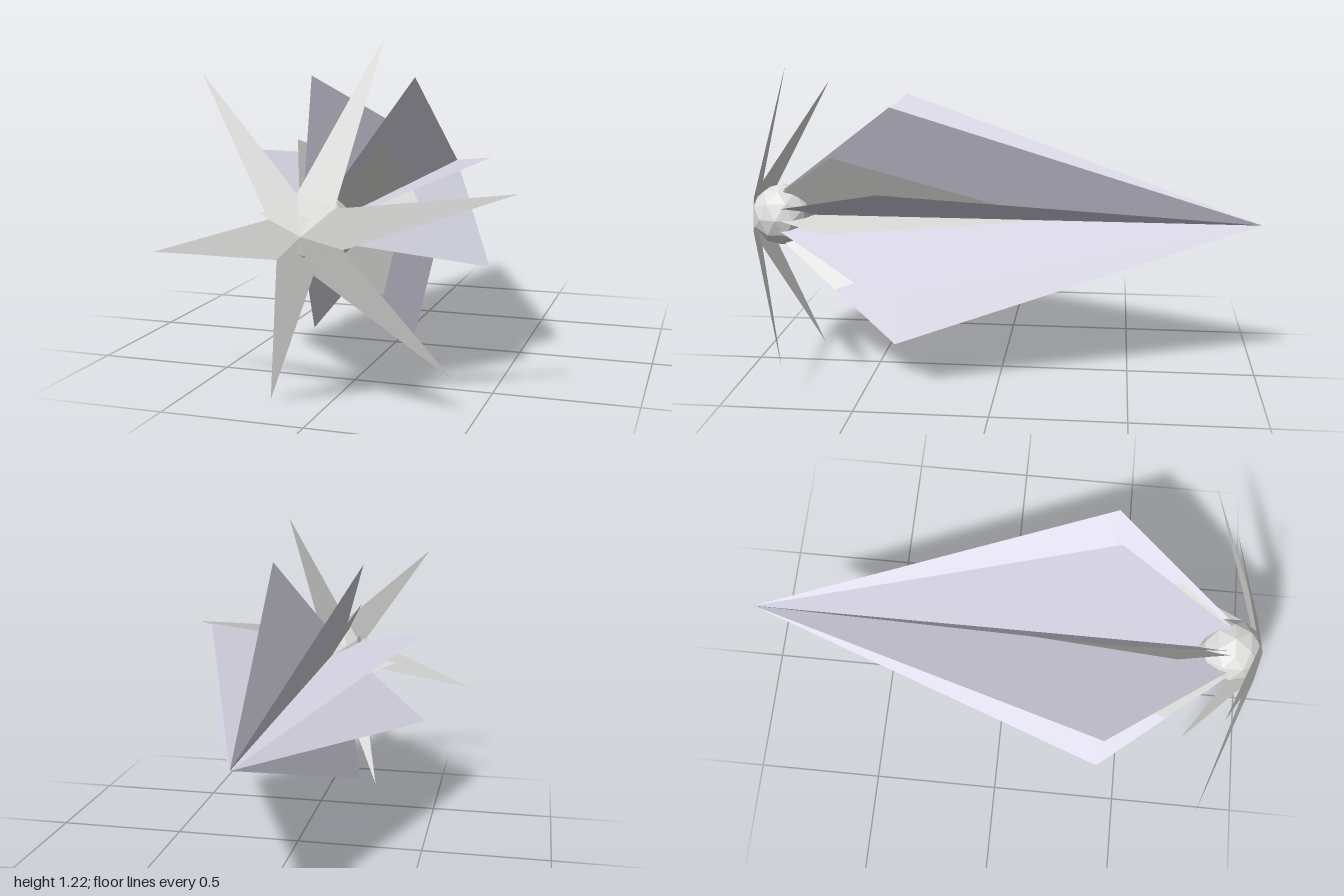
import * as THREE from 'three';

// Flat kite starting at the origin and pointing along +y
function kite(length, width, widest) {
  const s = new THREE.Shape();
  s.moveTo(0, 0);
  s.lineTo(width / 2, widest);
  s.lineTo(0, length);
  s.lineTo(-width / 2, widest);
  s.closePath();
  return new THREE.ShapeGeometry(s);
}

export function createModel() {
  const silver = new THREE.MeshStandardMaterial({ color: 0xdfdfdd, flatShading: true, side: THREE.DoubleSide });
  silver.name = 'silver';
  const lavender = new THREE.MeshStandardMaterial({ color: 0xd7d5e4, flatShading: true, side: THREE.DoubleSide });
  lavender.name = 'lavender';

  const model = new THREE.Group();
  model.name = 'comet';
  const add = (name, geometry, material) => {
    const mesh = new THREE.Mesh(geometry, material);
    mesh.name = name;
    model.add(mesh);
    return mesh;
  };

  // Crossed blades of the tail, all sharing the long axis
  const blades = (name, count, start, length, material) => {
    for (let i = 0; i < count; i++) {
      const blade = kite(length, length / 2, length * 0.3);
      blade.rotateX(-Math.PI / 2);
      blade.rotateZ(start + (i * Math.PI) / count);
      add(name, blade, material).position.z = 1;
    }
  };
  blades('longTailBlade', 4, Math.PI / 8, 2, lavender);
  blades('shortTailBlade', 3, 0, 1.2, silver);

  // Faceted head
  add('head', new THREE.IcosahedronGeometry(0.125, 1), silver).position.z = 0.875;

  // Six swept-back spikes around the head
  const reach = 0.645, sweep = 0.22;
  for (let i = 0; i < 6; i++) {
    const spike = kite(Math.hypot(reach, sweep), 0.13, 0.119);
    spike.rotateX(-Math.atan2(sweep, reach));
    spike.rotateZ(THREE.MathUtils.degToRad(11.5 + 60 * i - 90));
    add('frontSpike', spike, silver).position.z = 1;
  }

  for (const part of model.children) part.position.y = 0.615;
  return model;
}
